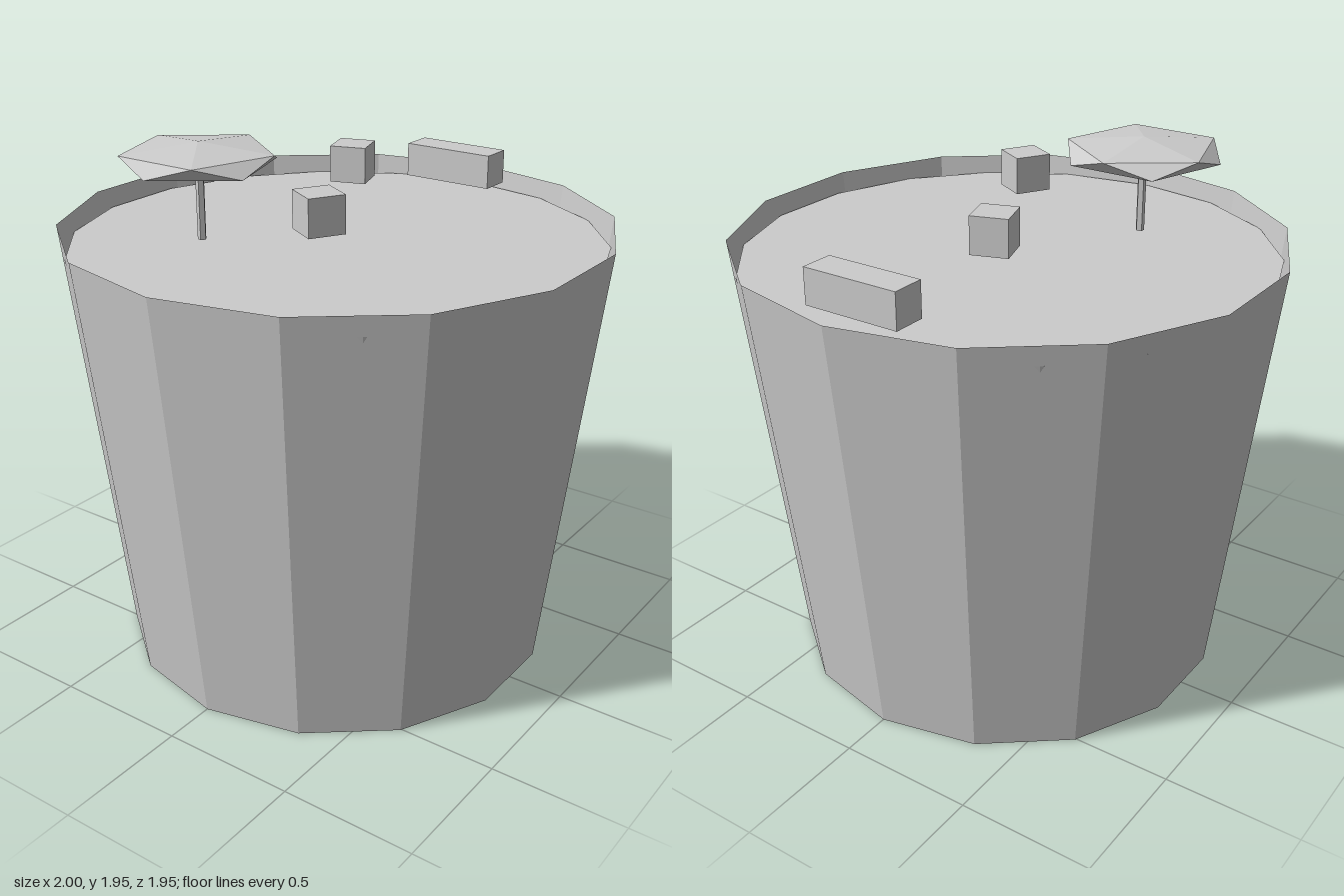
import * as THREE from 'three';

export function createModel() {
  const group = new THREE.Group();
  group.name = 'islandBucket';
  const material = new THREE.MeshStandardMaterial({
    color: 0xcccccc, flatShading: true, side: THREE.DoubleSide,
  });

  function add(name, geometry, x, y, z, turn = 0) {
    const mesh = new THREE.Mesh(geometry, material);
    mesh.name = name;
    mesh.position.set(x, y, z);
    mesh.rotation.y = turn;
    group.add(mesh);
    return mesh;
  }

  // Thin tapered 14-sided bucket, open at the top, with a corner on +x
  const height = 1.63;
  add('bucketWall', new THREE.CylinderGeometry(1, 0.81, height, 14, 1, true), 0, height / 2, 0, Math.PI / 2);
  add('bucketBase', new THREE.CircleGeometry(0.81, 14).rotateX(Math.PI / 2), 0, 0, 0);

  // Filling just below the rim
  add('filling', new THREE.CylinderGeometry(0.97, 0.94, 0.13, 18), 0, 1.495, 0, Math.PI / 2);

  // Two small turned cubes and a long block near the rim
  const cube = new THREE.BoxGeometry(0.135, 0.135, 0.135);
  add('leftCube', cube, 0.31, 1.762, -0.154, 0.32);
  add('rightCube', cube, -0.315, 1.762, 0.148, -0.52);
  add('longBlock', new THREE.BoxGeometry(0.124, 0.13, 0.37), 0.81, 1.675, -0.003);

  // Tree: thin trunk and a flattened icosahedron standing on one corner
  add('trunk', new THREE.CylinderGeometry(0.016, 0.016, 0.27, 5), -0.376, 1.735, -0.315);
  const crown = new THREE.IcosahedronGeometry(0.31, 0)
    .rotateX(-Math.atan((1 + Math.sqrt(5)) / 2))
    .rotateY(Math.PI / 2)
    .scale(1, 0.055 / 0.31, 1);
  add('treeCrown', crown, -0.378, 1.892, -0.315);

  return group;
}
